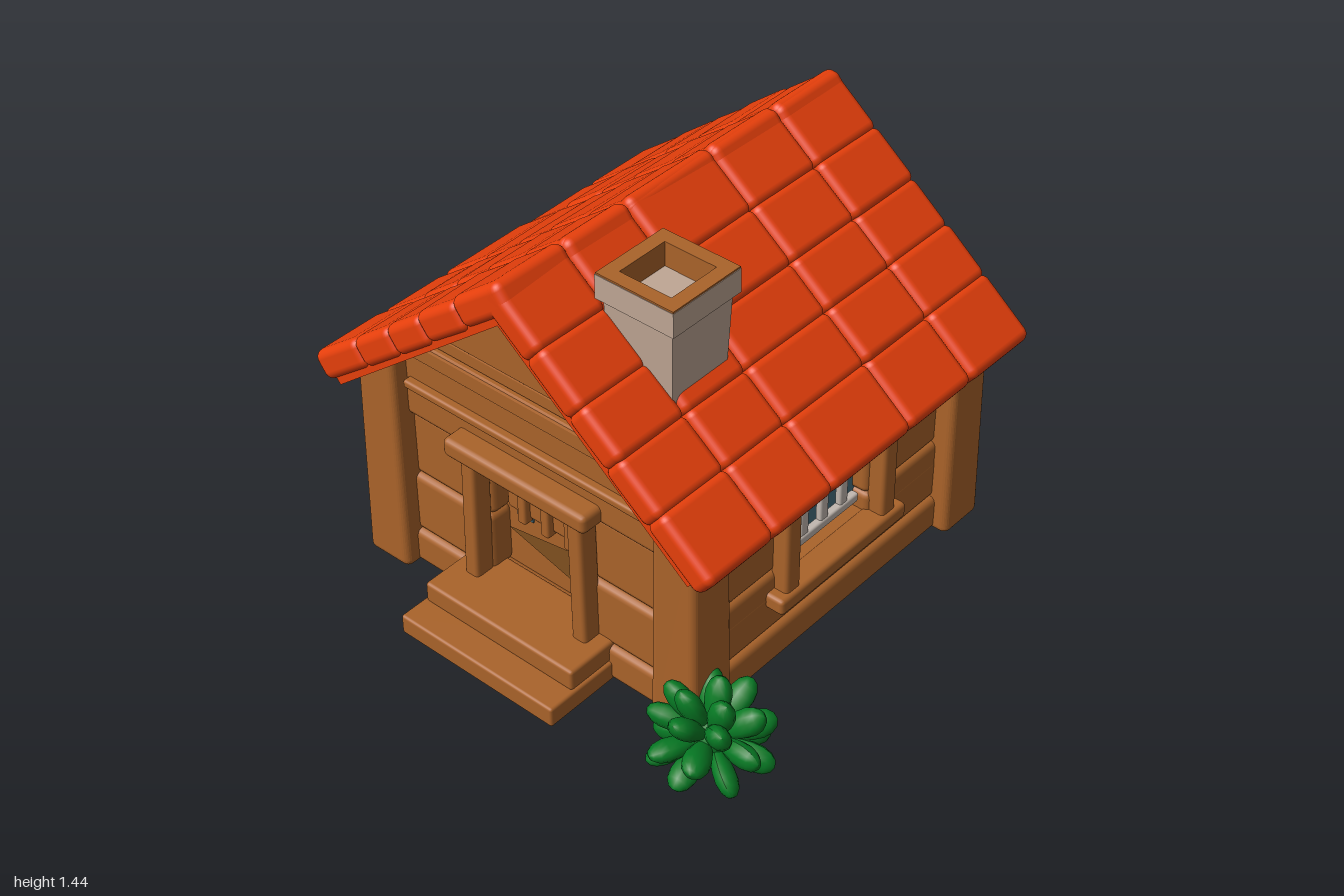
import * as THREE from 'three';
import { RoundedBoxGeometry } from 'three/addons/geometries/RoundedBoxGeometry.js';

const paint = (name, color) => Object.assign(new THREE.MeshStandardMaterial({ color }), { name });

export function createModel() {
  const wood = paint('wood', 0xaa632a);
  const darkWood = paint('dark wood', 0x80501f);
  const red = paint('roof red', 0xf0420c);
  const stone = paint('chimney stone', 0xbfa694);
  const teal = paint('teal glass', 0x47707f);
  const floorTeal = paint('floor teal', 0x64827f);
  const pale = paint('pale bars', 0xc2b8b0);
  const green = paint('leaf green', 0x067a24);

  // Small seeded generator for hand-made irregularity
  let seed = 7;
  const rnd = (a, b) => {
    seed = (seed * 16807) % 2147483647;
    return a + (b - a) * (seed / 2147483647);
  };

  const model = new THREE.Group();
  model.name = 'cabin';
  const group = (name, parent = model) => {
    const g = new THREE.Group();
    g.name = name;
    parent.add(g);
    return g;
  };
  const add = (parent, name, geo, mat) => {
    const m = new THREE.Mesh(geo, mat);
    m.name = name;
    parent.add(m);
    return m;
  };
  // Rounded block given by its extents on each axis
  const block = (parent, name, mat, [x0, x1], [y0, y1], [z0, z1], r = 0.015) => {
    const w = x1 - x0, h = y1 - y0, d = z1 - z0;
    const m = add(parent, name, new RoundedBoxGeometry(w, h, d, 2, Math.min(r, 0.45 * Math.min(w, h, d))), mat);
    m.position.set((x0 + x1) / 2, (y0 + y1) / 2, (z0 + z1) / 2);
    return m;
  };

  const house = group('house');
  house.position.set(-0.01, 0, 0.025);
  const under = (x) => 1.3 - 0.8 * Math.abs(x); // height of the roof underside

  // Floor with a red strip along the back
  add(house, 'floor', new THREE.BoxGeometry(1.28, 0.02, 1.32), floorTeal).position.y = 0.04;
  block(house, 'floorStrip', red, [-0.54, 0.54], [0.005, 0.035], [-0.59, -0.57], 0.002);

  // Corner posts, cut to the roof slope and slightly flared at the foot
  for (const sx of [-1, 1]) for (const sz of [-1, 1]) {
    const geo = new RoundedBoxGeometry(0.17, 0.8, 0.17, 3, 0.025);
    const p = geo.attributes.position;
    for (let i = 0; i < p.count; i++) {
      const t = p.getY(i) / 0.8 + 0.5;
      const flare = 1.1 - 0.1 * t;
      const x = sx * 0.625 + p.getX(i) * flare, z = sz * 0.65 + p.getZ(i) * flare;
      p.setXYZ(i, x, 0.005 + t * (under(x) + 0.03), z);
    }
    geo.computeVertexNormals();
    add(house, 'cornerPost', geo, wood);
  }

  // Side walls with framed windows
  for (const s of [-1, 1]) {
    const wall = group(s > 0 ? 'leftWall' : 'rightWall', house);
    const xs = (a, b) => (s > 0 ? [a, b] : [-b, -a]);
    const full = [[-0.6, 0.6]], split = [[-0.6, -0.2], [0.2, 0.6]];
    const rows = [
      [0.01, 0.145, 0.665, full],
      [0.14, 0.305, 0.65, full],
      [0.2, 0.375, 0.649, split],
      [0.37, 0.625, 0.64, split],
      [0.615, 0.76, 0.65, full],
    ];
    for (const [y0, y1, face, spans] of rows)
      for (const zs of spans) block(wall, 'plank', wood, xs(0.55, face), [y0, y1], zs, 0.025);

    const win = group('sideWindow', wall);
    block(win, 'glass', teal, xs(0.57, 0.58), [0.28, 0.64], [-0.22, 0.22], 0.001);
    block(win, 'lintel', wood, xs(0.62, 0.71), [0.615, 0.665], [-0.32, 0.32]);
    block(win, 'sill', wood, xs(0.62, 0.715), [0.25, 0.31], [-0.32, 0.32]);
    for (const z of [-0.245, 0.245])
      block(win, 'jamb', wood, xs(0.63, 0.7), [0.29, 0.63], [z - 0.035, z + 0.035]);
    for (const z of [-0.1, 0, 0.1])
      block(win, 'paleBar', pale, xs(0.6, 0.625), [0.37, 0.62], [z - 0.02, z + 0.02], 0.008);
    block(win, 'paleRail', pale, xs(0.6, 0.63), [0.365, 0.4], [-0.17, 0.15], 0.008);
    block(win, 'paleTopRail', pale, xs(0.6, 0.63), [0.575, 0.605], [-0.12, 0.12], 0.008);
    block(win, 'woodRail', wood, xs(0.585, 0.6), [0.475, 0.495], [-0.21, 0.21], 0.005);
  }

  // Front and back walls with gable boards
  for (const s of [-1, 1]) {
    const wall = group(s > 0 ? 'frontWall' : 'backWall', house);
    const zs = (a, b) => (s > 0 ? [a, b] : [-b, -a]);
    const split = [[-0.56, -0.2], [0.2, 0.56]], full = [[-0.56, 0.56]];
    const rows = [
      [0.01, 0.145, 0.69, full],
      [0.14, 0.375, 0.675, s > 0 ? split : full],
      [0.37, 0.635, 0.66, split],
      [0.625, 0.765, 0.68, full],
    ];
    for (const [y0, y1, face, spans] of rows)
      for (const span of spans) block(wall, 'plank', wood, span, [y0, y1], zs(0.57, face), 0.025);
    block(wall, 'beam', wood, [-0.53, 0.52], [0.755, 0.785], zs(0.6, 0.705), 0.01);

    for (const [y0, y1, face] of [[0.77, 0.88, 0.675], [0.88, 0.95, 0.69], [0.95, 1.01, 0.67], [1.01, 1.32, 0.68]]) {
      const a = (1.35 - y0) / 0.81, b = (1.35 - y1) / 0.81;
      const shape = new THREE.Shape([[-a, y0], [a, y0], [b, y1], [-b, y1]].map(([x, y]) => new THREE.Vector2(x, y)));
      const geo = new THREE.ExtrudeGeometry(shape, {
        depth: 0.08, bevelThickness: 0.012, bevelSize: 0.012, bevelOffset: -0.012, bevelSegments: 2,
      });
      add(wall, 'gableBoard', geo, wood).position.z = s > 0 ? face - 0.092 : -face + 0.012;
    }
  }

  // Back window
  const backWindow = group('backWindow', house);
  block(backWindow, 'glass', teal, [-0.22, 0.22], [0.36, 0.64], [-0.63, -0.62], 0.001);
  for (const x of [-0.2, -0.1, 0, 0.1, 0.2])
    block(backWindow, 'bar', wood, [x - 0.012, x + 0.012], [0.37, 0.63], [-0.665, -0.635], 0.008);
  for (const y of [0.385, 0.625])
    block(backWindow, 'rail', wood, [-0.22, 0.22], [y - 0.015, y + 0.015], [-0.68, -0.63], 0.008);

  // Doorway: recessed door, frame and steps
  const door = group('doorway', house);
  block(door, 'doorPanel', wood, [-0.22, 0.22], [0.1, 0.64], [0.55, 0.58], 0.005);
  block(door, 'upperPanel', wood, [-0.19, 0.19], [0.39, 0.6], [0.56, 0.61], 0.02);
  for (const x of [-0.1, 0, 0.1])
    block(door, 'doorBar', wood, [x - 0.018, x + 0.018], [0.38, 0.61], [0.59, 0.635], 0.01);
  const wedge = new THREE.Shape([[-0.21, 0.28], [0.19, 0.17], [0.19, 0.345]].map(([x, y]) => new THREE.Vector2(x, y)));
  add(door, 'darkPanel', new THREE.ShapeGeometry(wedge), darkWood).position.z = 0.584;
  for (const x of [-0.13, 0.12])
    block(door, 'pane', teal, [x - 0.035, x + 0.035], [0.355, 0.39], [0.578, 0.586], 0.001);
  for (const s of [-1, 1]) {
    const jamb = block(door, 'doorPost', wood, [s * 0.23 - 0.03, s * 0.23 + 0.03], [0.14, 0.65], [0.66, 0.74]);
    jamb.rotation.z = s * 0.02;
  }
  block(door, 'doorLintel', wood, [-0.31, 0.29], [0.63, 0.7], [0.65, 0.76], 0.02);
  block(door, 'lowerStep', wood, [-0.33, 0.33], [0.01, 0.085], [0.65, 0.97], 0.01);
  block(door, 'upperStep', wood, [-0.32, 0.32], [0.08, 0.16], [0.6, 0.865], 0.012);

  // Roof: five rows of plump tiles on each slope over a thin deck
  const angle = Math.atan2(0.67, 0.83);
  const cols = [0, 0.185, 0.345, 0.49, 0.645, 0.834].map((x) => x / Math.cos(angle));
  const rowsZ = [-0.78, -0.465, -0.145, 0.245, 0.525, 0.825];
  for (const s of [-1, 1]) {
    const slope = group(s > 0 ? 'leftRoof' : 'rightRoof');
    slope.position.set(-0.018, 1.455, 0);
    slope.rotation.z = -s * angle;
    const deck = add(slope, 'deck', new THREE.BoxGeometry(1.0, 0.035, 1.57), red);
    deck.position.set(s * 0.54, -0.108, 0.022);
    for (let c = 0; c < 5; c++) for (let r = 0; r < 5; r++) {
      const w = cols[c + 1] - cols[c], d = rowsZ[r + 1] - rowsZ[r];
      const tile = add(slope, 'roofTile', new RoundedBoxGeometry(w + 0.014, 0.105, d - 0.002, 3, 0.03), red);
      tile.position.set(s * (cols[c] + w / 2), -0.055 + rnd(-0.004, 0.004), (rowsZ[r] + rowsZ[r + 1]) / 2);
      tile.rotation.set(rnd(-0.012, 0.012), 0, s * rnd(0, 0.03));
    }
  }

  // Chimney: tapered shaft with an open, wood-lined cap
  const chimney = group('chimney');
  chimney.position.set(0.3, 0, 0.415);
  const shaftGeo = new THREE.CylinderGeometry(0.135 * Math.SQRT2, 0.123 * Math.SQRT2, 0.31, 4, 1).toNonIndexed();
  shaftGeo.rotateY(Math.PI / 4);
  shaftGeo.computeVertexNormals();
  add(chimney, 'shaft', shaftGeo, stone).position.y = 1.19;
  const square = (h, C) => new C([[-h, -h], [h, -h], [h, h], [-h, h]].map(([x, y]) => new THREE.Vector2(x, y)));
  const ring = (depth, outer, inner) => {
    const shape = square(outer, THREE.Shape);
    shape.holes.push(square(inner, THREE.Path));
    return new THREE.ExtrudeGeometry(shape, { depth, bevelEnabled: false }).rotateX(-Math.PI / 2);
  };
  add(chimney, 'cap', ring(0.087, 0.152, 0.112), stone).position.y = 1.34;
  add(chimney, 'capLining', ring(0.085, 0.112, 0.1), wood).position.y = 1.342;
  add(chimney, 'capRim', ring(0.006, 0.15, 0.1), wood).position.y = 1.427;

  // Bushes: rings of plump leaves, wider towards the tip
  const leafGeo = new THREE.SphereGeometry(1, 12, 8);
  const lp = leafGeo.attributes.position;
  for (let i = 0; i < lp.count; i++) {
    const y = lp.getY(i), k = 0.85 + 0.25 * y;
    lp.setXYZ(i, lp.getX(i) * 0.052 * k, 0.125 + y * 0.092, lp.getZ(i) * 0.04 * k);
  }
  leafGeo.computeVertexNormals();
  const up = new THREE.Vector3(0, 1, 0);
  for (const [x, z, size] of [[0.79, 0.79, 1], [-0.79, -0.79, 1], [-0.81, 0.4, 0.9]]) {
    const bush = group('bush');
    bush.position.set(x, 0.135 * size, z);
    bush.scale.setScalar(size);
    add(bush, 'bushCore', new THREE.SphereGeometry(0.075, 12, 8), green);
    for (const [n, lift] of [[8, -0.3], [7, 0.15], [6, 0.7], [3, 1.2]])
      for (let i = 0; i < n; i++) {
        const a = ((i + lift) / n) * Math.PI * 2 + rnd(-0.15, 0.15);
        const e = lift + rnd(-0.1, 0.1);
        const leaf = add(bush, 'leaf', leafGeo, green);
        const dir = new THREE.Vector3(Math.cos(a) * Math.cos(e), Math.sin(e), Math.sin(a) * Math.cos(e));
        leaf.quaternion.setFromUnitVectors(up, dir);
        leaf.scale.set(1, rnd(0.95, 1.01), 1);
      }
  }
  // Pale leaf tip on the back bush
  const tip = add(model, 'paleLeafTip', new THREE.SphereGeometry(0.03, 10, 8), pale);
  tip.position.set(-0.77, 0.195, -0.945);
  tip.scale.set(1, 0.6, 0.85);

  return model;
}
